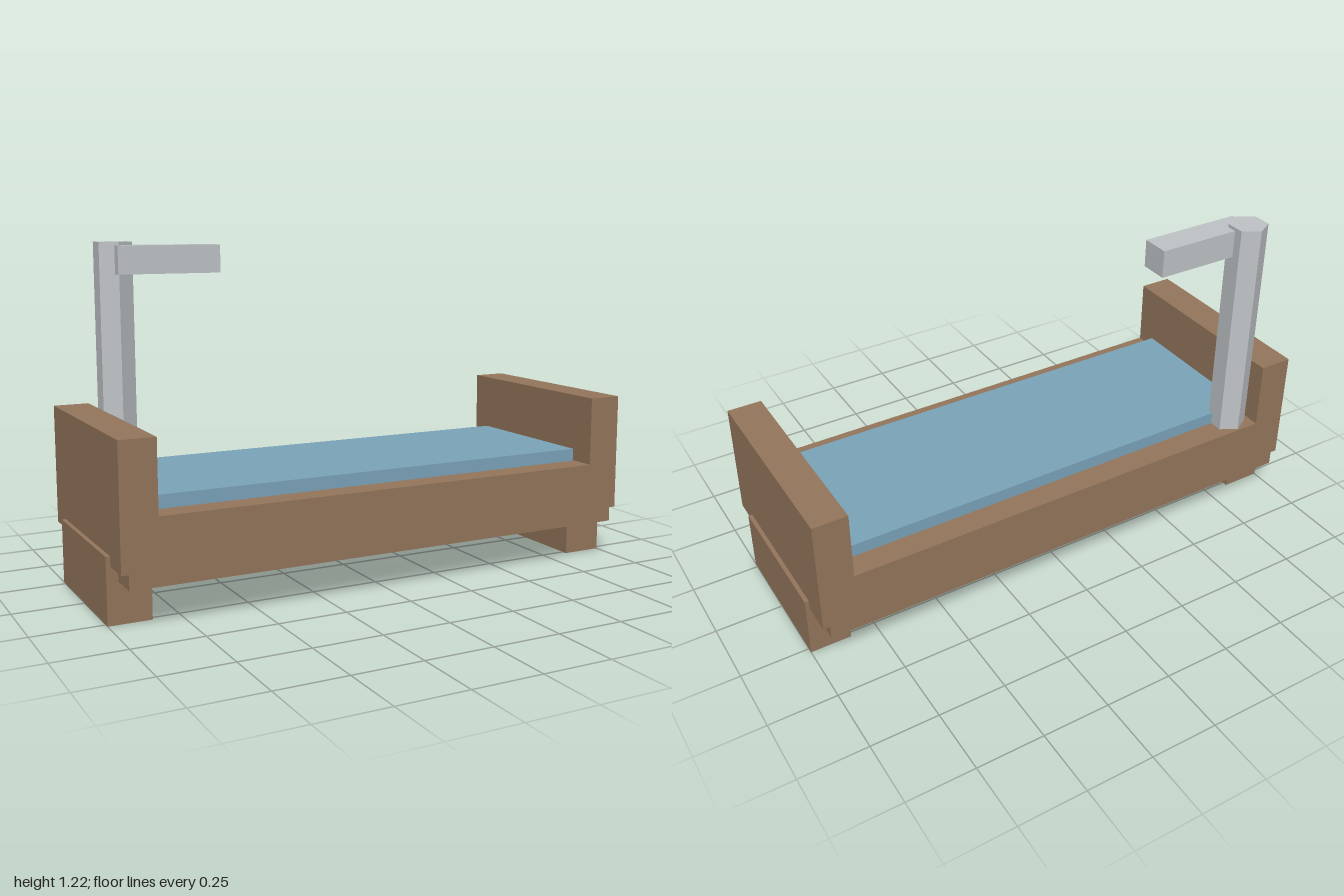
import * as THREE from 'three';

export function createModel() {
  const model = new THREE.Group();
  model.name = 'bed';
  const material = (name, color) => {
    const m = new THREE.MeshStandardMaterial({ color });
    m.name = name;
    return m;
  };
  const wood = material('brown wood', 0x94765c);
  const fabric = material('blue fabric', 0x7ba4ba);
  const metal = material('grey metal', 0xc0c4c7);
  metal.flatShading = true;

  const add = (name, geometry, mat) => {
    const mesh = new THREE.Mesh(geometry, mat);
    mesh.name = name;
    model.add(mesh);
    return mesh;
  };
  // Box given by its low and high limits on each axis
  const box = (name, mat, [x0, x1], [y0, y1], [z0, z1]) =>
    add(name, new THREE.BoxGeometry(x1 - x0, y1 - y0, z1 - z0), mat)
      .position.set((x0 + x1) / 2, (y0 + y1) / 2, (z0 + z1) / 2);

  // Frame with raised head and foot boards: one mirrored profile, extruded in depth
  const half = [[0.96, 0.145], [0.96, 0.198], [0.985, 0.198], [0.985, 0.63], [0.858, 0.63], [0.858, 0.375]];
  const outline = [...half, ...half.map(([x, y]) => [-x, y]).reverse()];
  const profile = new THREE.Shape(outline.map(([x, y]) => new THREE.Vector2(x, y)));
  add('frame', new THREE.ExtrudeGeometry(profile, { depth: 0.77, bevelEnabled: false }), wood)
    .position.z = -0.385;

  // Block legs under each end
  box('leftLeg', wood, [0.848, 1], [0, 0.233], [-0.27, 0.27]);
  box('rightLeg', wood, [-1, -0.848], [0, 0.233], [-0.27, 0.27]);

  // Mattress set into the frame
  box('mattress', fabric, [-0.85, 0.85], [0.34, 0.422], [-0.292, 0.292]);

  // Hexagonal post with a side arm
  add('post', new THREE.CylinderGeometry(0.071, 0.071, 0.86, 6), metal)
    .position.set(-0.772, 0.79, -0.307);
  box('arm', metal, [-0.785, -0.4], [1.106, 1.208], [-0.309, -0.205]);

  return model;
}
